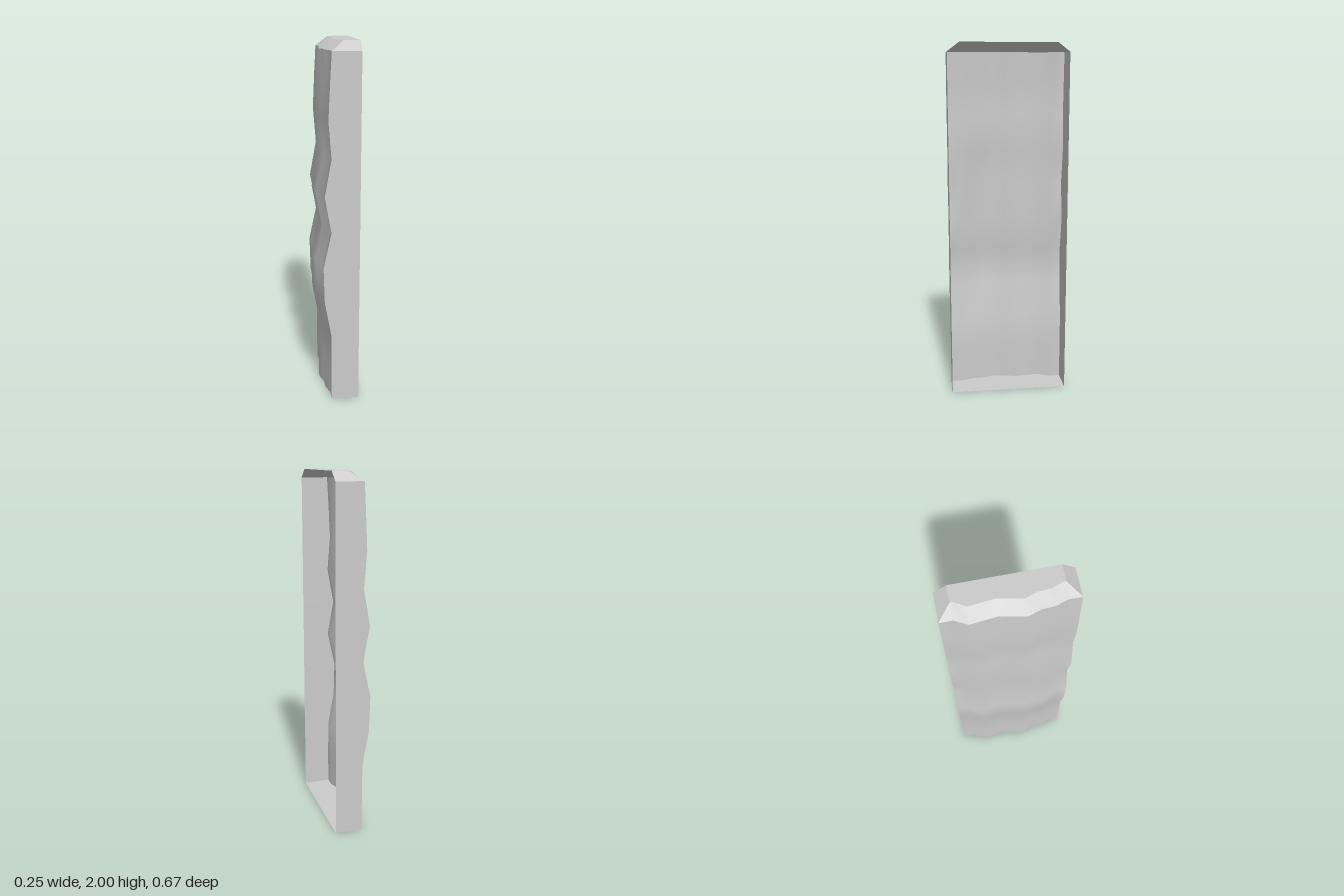
import * as THREE from 'three';

const material = new THREE.MeshStandardMaterial({ color: 0xcccccc, side: THREE.DoubleSide });

const OPEN_X = 0.122; // open side of the shell
const HALF = 0.333; // half width along z
const RIM = 0.267; // half width of the top after the bevel
const BEVEL_Y = 1.95;
const TOP_Y = 2;

// Sampling lines of the worn face and how far it bulges along each
const rowY = [0, 0.2, 0.4, 0.6, 0.8, 1, 1.2, 1.4, 1.6, 1.8, BEVEL_Y];
const rowBulge = [0, 0, 0.002, 0.038, 0.044, 0.001, 0.037, 0.001, 0.017, 0.008, 0];
const colZ = [-HALF, -RIM, -0.2, -0.133, -0.067, 0, 0.067, 0.133, 0.2, RIM, HALF];
const colBulge = [0, 0, 0.035, 0.028, 0.021, 0.033, 0.047, 0.025, 0.021, 0, 0];

function faceX(row, col) {
  // a local swelling near the front, at mid height
  const swell = (col === 7 || col === 8) && row >= 3 && row <= 6 ? 0.014 : 0;
  return -0.032 - rowBulge[row] - colBulge[col] - swell;
}

// Smooth surface through a list of point rows of equal length
function skin(name, rows, flip = false) {
  const width = rows[0].length;
  const index = [];
  for (let j = 0; j < rows.length - 1; j++) {
    for (let i = 0; i < width - 1; i++) {
      const a = j * width + i, b = a + 1, c = a + width, d = c + 1;
      if (flip) index.push(a, c, b, b, c, d);
      else index.push(a, b, c, b, d, c);
    }
  }
  const geometry = new THREE.BufferGeometry();
  geometry.setAttribute('position', new THREE.Float32BufferAttribute(rows.flat(2), 3));
  geometry.setIndex(index);
  geometry.computeVertexNormals();
  const mesh = new THREE.Mesh(geometry, material);
  mesh.name = name;
  return mesh;
}

export function createModel() {
  const group = new THREE.Group();
  group.name = 'stoneSlab';
  const last = rowY.length - 1;

  // Worn face
  group.add(skin('wornFace', rowY.map((y, r) => colZ.map((z, c) => [faceX(r, c), y, z]))));

  // Bevel above the worn face, following its outline
  const lower = colZ.map((z, c) => [faceX(last, c), BEVEL_Y, z]);
  const rim = colZ.map((z, c) => {
    const rimZ = Math.abs(z) > 0.3 ? Math.sign(z) * RIM : Math.abs(z) > 0.25 ? Math.sign(z) * 0.25 : z * 0.97;
    return [faceX(last, c) + 0.066, TOP_Y, rimZ];
  });
  group.add(skin('faceBevel', [lower, rim]));

  // Flat top and bottom
  group.add(skin('top', [rim, rim.map(([, y, z]) => [OPEN_X, y, z])]));
  const foot = colZ.map((z, c) => [faceX(0, c), 0, z]);
  group.add(skin('bottom', [foot, foot.map(([, y, z]) => [OPEN_X, y, z])], true));

  // Side walls with their bevels
  for (const side of [1, -1]) {
    const label = side > 0 ? 'front' : 'back';
    const col = side > 0 ? colZ.length - 1 : 0;
    const wall = rowY.map((y, r) => [[faceX(r, col), y, side * HALF], [OPEN_X, y, side * HALF]]);
    group.add(skin(label + 'Wall', wall, side < 0));
    const bevel = [wall[last], [rim[col], [OPEN_X, TOP_Y, side * RIM]]];
    group.add(skin(label + 'Bevel', bevel, side < 0));
  }
  return group;
}
